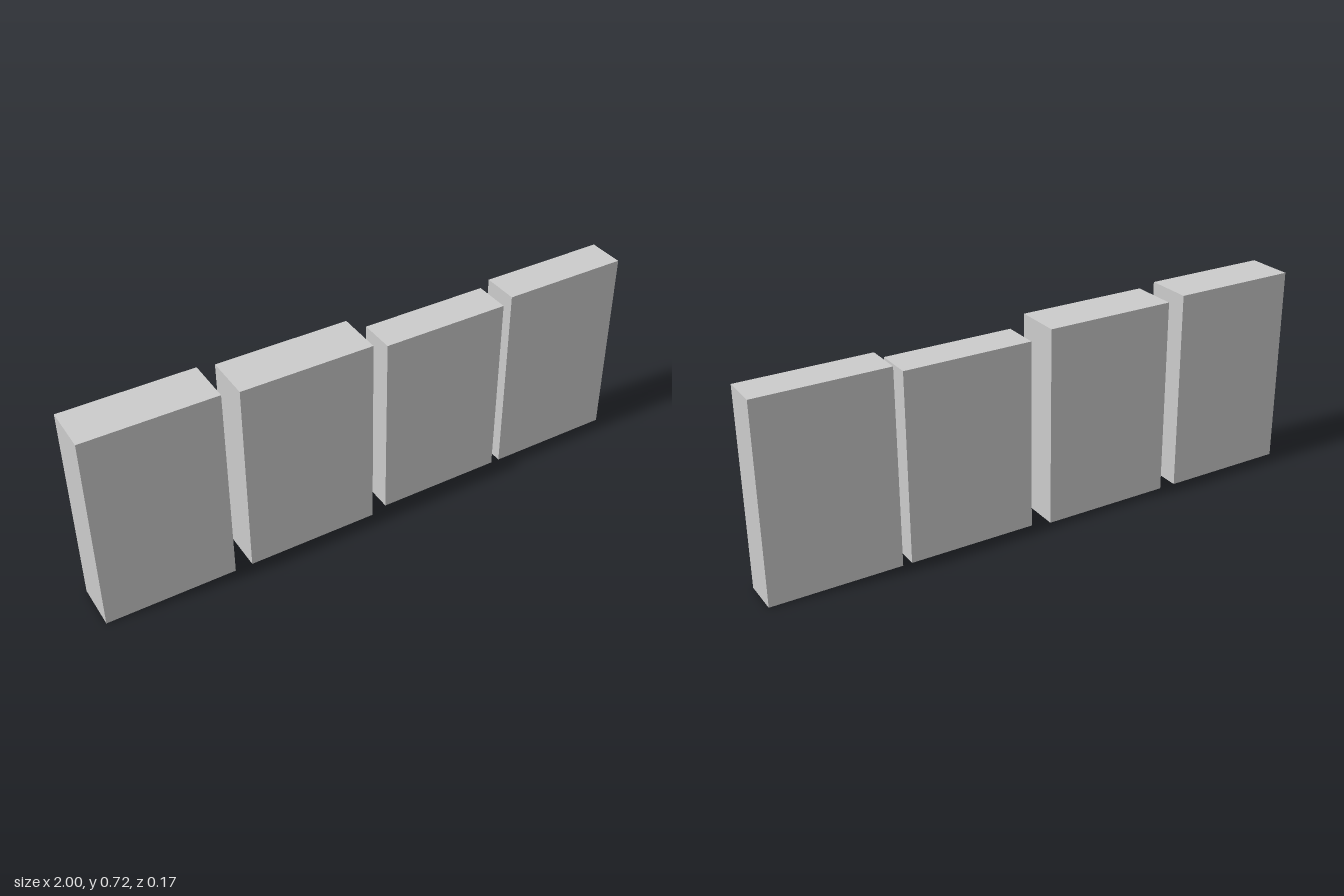
import * as THREE from 'three';

// Row of four upright slabs: x start, x end, height, depth
const slabs = [
  { name: 'slabFarRight', x0: -1, x1: -0.543, height: 0.722, depth: 0.168 },
  { name: 'slabInnerRight', x0: -0.482, x1: -0.012, height: 0.71, depth: 0.168 },
  { name: 'slabInnerLeft', x0: 0.052, x1: 0.509, height: 0.676, depth: 0.132 },
  { name: 'slabFarLeft', x0: 0.541, x1: 1, height: 0.699, depth: 0.132 },
];

export function createModel() {
  const model = new THREE.Group();
  model.name = 'slabRow';
  const material = new THREE.MeshStandardMaterial({ color: 0xcccccc });

  // Each slab stands on the ground, centred in depth
  for (const { name, x0, x1, height, depth } of slabs) {
    const slab = new THREE.Mesh(new THREE.BoxGeometry(x1 - x0, height, depth), material);
    slab.name = name;
    slab.position.set((x0 + x1) / 2, height / 2, 0);
    model.add(slab);
  }
  return model;
}
